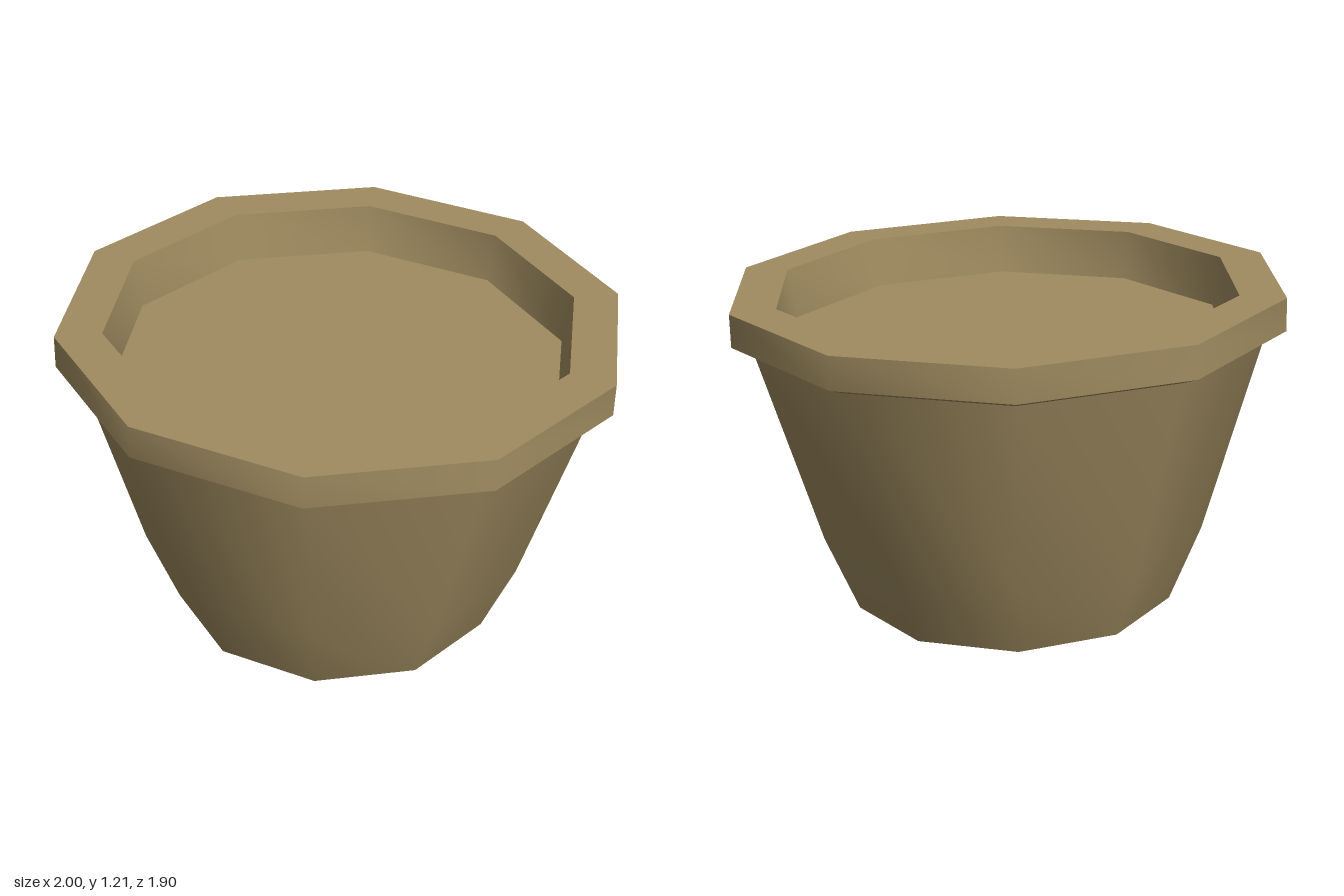
import * as THREE from 'three';
import { toCreasedNormals } from 'three/addons/utils/BufferGeometryUtils.js';

const SIDES = 10;

export function createModel() {
  const clay = new THREE.MeshStandardMaterial({ color: 0xa08c60 });
  clay.name = 'clay';

  const pot = new THREE.Group();
  pot.name = 'pot';

  // Ten-sided ring from [radius, height] points, with a corner on +x
  function ring(name, profile) {
    const points = profile.map(([r, y]) => new THREE.Vector2(r, y));
    const lathe = new THREE.LatheGeometry(points, SIDES, Math.PI / 2);
    const mesh = new THREE.Mesh(toCreasedNormals(lathe, 0.7), clay);
    mesh.name = name;
    pot.add(mesh);
  }

  // Flat ten-sided disc facing up or down
  function disc(name, radius, y, up) {
    const mesh = new THREE.Mesh(new THREE.CircleGeometry(radius, SIDES), clay);
    mesh.rotation.x = up ? -Math.PI / 2 : Math.PI / 2;
    mesh.position.y = y;
    mesh.name = name;
    pot.add(mesh);
  }

  // Tapered wall with a bend near the foot
  ring('wall', [[0.595, 0], [0.7125, 0.29], [0.924, 1.015]]);

  // Overhanging lip: sloped underside, band, flat top and inner wall
  ring('rim', [[0.924, 1.015], [1, 1.045], [1, 1.163], [0.836, 1.163], [0.806, 0.985]]);

  disc('base', 0.595, 0, false);
  disc('soil', 0.806, 0.985, true);

  // The pot leans slightly
  pot.rotation.set(-0.01, 0, -0.0275);
  pot.position.set(-0.031, 0.018, 0.011);

  const model = new THREE.Group();
  model.name = 'plantPot';
  model.add(pot);
  return model;
}
